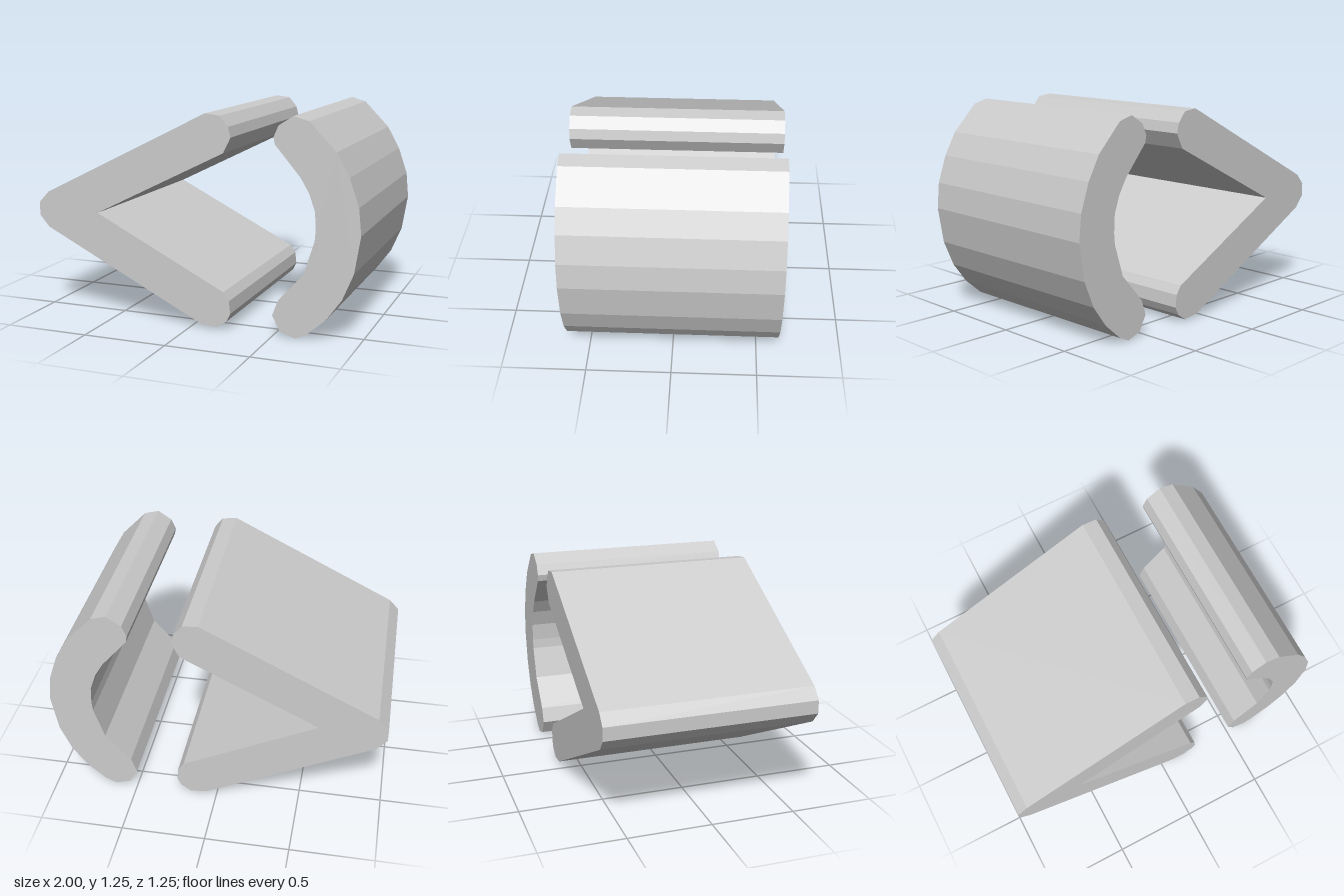
import * as THREE from 'three';

const DEPTH = 1.255;

// Angled arm pair with chamfered tips, seen from the front
const chevronOutline = [
  [-1, 0.67], [-0.94, 0.735], [0.09, 1.25], [0.18, 1.24], [0.23, 1.18], [0.245, 1.12],
  [0.2, 1.03], [-0.605, 0.63], [0.2, 0.225], [0.235, 0.175], [0.243, 0.1], [0.22, 0.052],
  [0.16, 0.01], [0.06, 0.02], [-0.94, 0.52], [-1, 0.59],
];

// Curved bar with faceted ends
const arcOutline = [
  [0.497, 1.135], [0.525, 1.2], [0.61, 1.255], [0.7, 1.23], [0.855, 1.07], [0.93, 0.935],
  [0.985, 0.775], [1, 0.62], [0.965, 0.405], [0.9, 0.25], [0.81, 0.127], [0.7, 0.03],
  [0.635, 0], [0.545, 0.03], [0.497, 0.12], [0.53, 0.21], [0.68, 0.38], [0.74, 0.57],
  [0.745, 0.63], [0.74, 0.735], [0.705, 0.835], [0.655, 0.92], [0.505, 1.095],
];

// Straight extrusion of an outline, centred on z
function prism(name, outline, material) {
  const shape = new THREE.Shape(outline.map(([x, y]) => new THREE.Vector2(x, y)));
  const geometry = new THREE.ExtrudeGeometry(shape, { depth: DEPTH, bevelEnabled: false });
  geometry.translate(0, 0, -DEPTH / 2);
  const mesh = new THREE.Mesh(geometry, material);
  mesh.name = name;
  return mesh;
}

export function createModel() {
  const grey = new THREE.MeshStandardMaterial({ color: 0xcccccc });
  grey.name = 'light grey';
  const model = new THREE.Group();
  model.name = 'extrudedProfiles';
  model.add(prism('chevronBar', chevronOutline, grey), prism('curvedBar', arcOutline, grey));
  return model;
}
